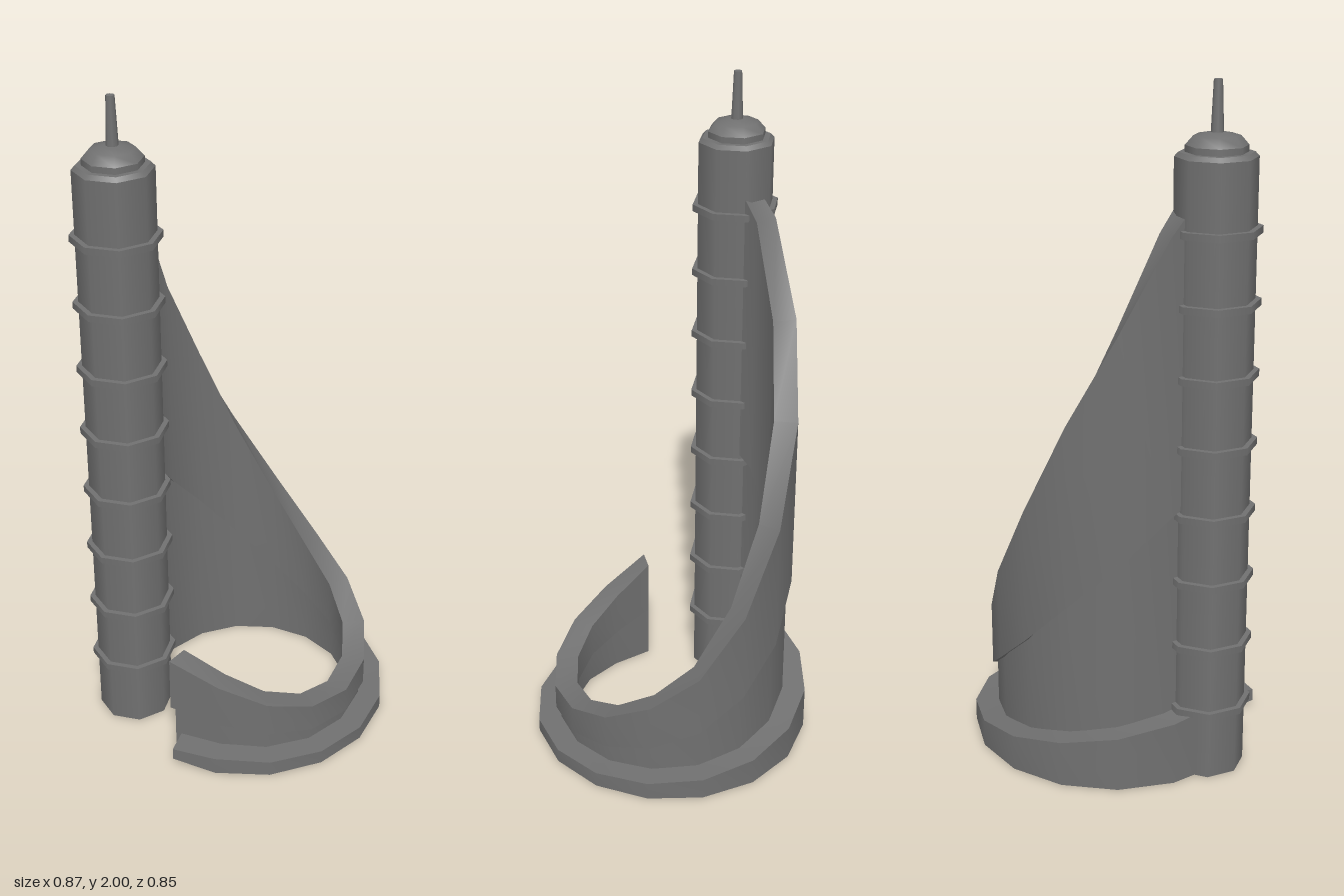
import * as THREE from 'three';
import { toCreasedNormals } from 'three/addons/utils/BufferGeometryUtils.js';

const material = new THREE.MeshStandardMaterial({ color: 0x707070, side: THREE.DoubleSide });

// Rim height of the spiral at each 22.5 degree step, from the free end round to the tower
const RIM = [0.35, 0.28, 0.22, 0.178, 0.163, 0.178, 0.22, 0.29, 0.39, 0.565, 0.8, 1.08, 1.34, 1.6, 1.75];

function addMesh(parent, name, geometry, y = 0) {
  const mesh = new THREE.Mesh(geometry, material);
  mesh.name = name;
  mesh.position.y = y;
  parent.add(mesh);
}

// Curved wall of rectangular section; bottom and top are functions of the rim height.
// flare widens the free end, skew swings its outer corner forward.
function spiralWall(inner, outer, bottom, top, flare, skew = 0) {
  const sections = RIM.map((h, i) => {
    const a = (i * Math.PI) / 8;
    const f = i === 0 ? flare : 0;
    const s = i === 0 ? skew : 0;
    const at = (r, y, z) => [-r * Math.cos(a), y, r * Math.sin(a) + z];
    return [
      at(inner + f, bottom(h), s * 0.2), at(outer + f, bottom(h) + s * 0.6, s),
      at(outer + f, top(h), s), at(inner + f, top(h), s * 0.2),
    ];
  });
  const pos = [];
  const quad = (a, b, c, d) => [a, b, c, a, c, d].forEach((p) => pos.push(...p));
  for (let i = 0; i < sections.length - 1; i++) {
    const s = sections[i], t = sections[i + 1];
    for (let k = 0; k < 4; k++) {
      const n = (k + 1) % 4;
      quad(s[n], s[k], t[k], t[n]);
    }
  }
  quad(...sections[0]);
  quad(...sections[sections.length - 1].slice().reverse());
  const g = new THREE.BufferGeometry();
  g.setAttribute('position', new THREE.Float32BufferAttribute(pos, 3));
  return toCreasedNormals(g, 0.6);
}

// Eight-sided drum or cone frustum
const drum = (top, bottom, height) => new THREE.CylinderGeometry(top, bottom, height, 8);

export function createModel() {
  const model = new THREE.Group();
  model.name = 'spiralTower';

  // Sweeping walls: low plinth, inner wall and overhanging upper band
  const walls = new THREE.Group();
  walls.name = 'spiralWalls';
  walls.position.x = 0.007;
  model.add(walls);
  addMesh(walls, 'plinth', spiralWall(0.33, 0.427, () => 0, (h) => 0.025 + 0.104 * h, 0.015, 0.04));
  addMesh(walls, 'lowerWall', spiralWall(0.316, 0.356, () => 0, (h) => h * 0.52, 0.02));
  addMesh(walls, 'upperBand', spiralWall(0.301, 0.371, (h) => h / 2, (h) => h, 0.028));

  // Tower standing over the high end of the spiral
  const tower = new THREE.Group();
  tower.name = 'tower';
  tower.position.set(-0.258, 0, -0.255);
  model.add(tower);
  addMesh(tower, 'shaft', drum(0.113, 0.113, 1.8), 0.9);
  addMesh(tower, 'shaftBevel', drum(0.102, 0.113, 0.012), 1.806);
  for (let i = 1; i <= 8; i++) addMesh(tower, 'band' + i, drum(0.129, 0.129, 0.02), i * 0.2 + 0.005);

  // Domed cap and spire
  addMesh(tower, 'capCollar', drum(0.085, 0.085, 0.028), 1.816);
  const dome = [[0.085, 1.83], [0.063, 1.855], [0.025, 1.863], [0, 1.864]];
  addMesh(tower, 'dome', new THREE.LatheGeometry(dome.map(([r, y]) => new THREE.Vector2(r, y)), 8));
  addMesh(tower, 'spire', drum(0.012, 0.018, 0.15), 1.925);

  return model;
}
